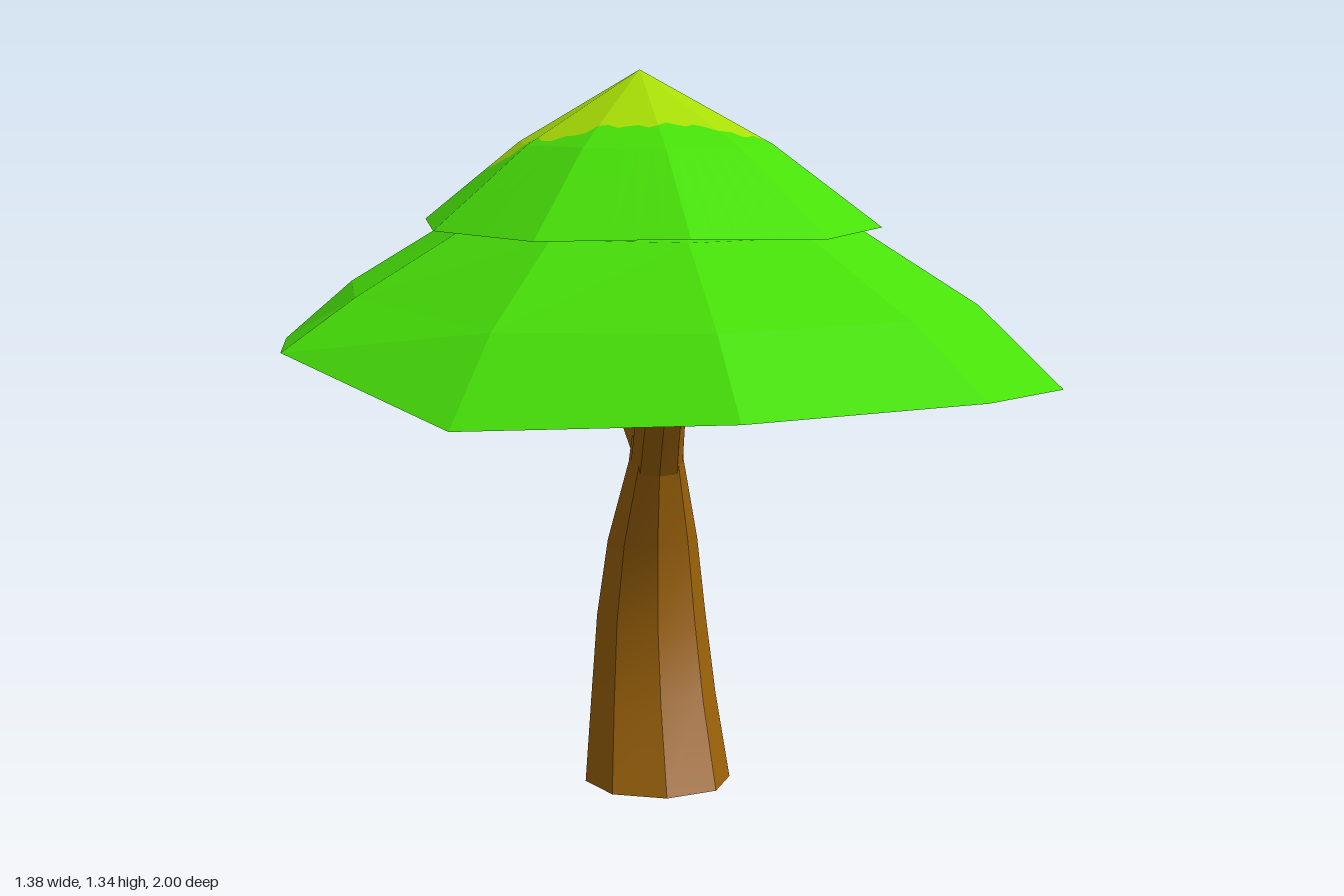
import * as THREE from 'three';
import { mergeVertices, mergeGeometries } from 'three/addons/utils/BufferGeometryUtils.js';

const V = (x, y, z) => new THREE.Vector3(x, y, z);
const SIDES = 10;

// Faceted skin over loops of points, listed from top to bottom
function loft(loops, closed = true) {
  const pos = [];
  const tri = (a, b, c) => {
    const area = b.clone().sub(a).cross(c.clone().sub(a)).length();
    if (area > 1e-8) pos.push(...a.toArray(), ...b.toArray(), ...c.toArray());
  };
  for (let k = 0; k < loops.length - 1; k++) {
    const A = loops[k], B = loops[k + 1], n = A.length;
    for (let i = 0; i < (closed ? n : n - 1); i++) {
      const j = (i + 1) % n;
      tri(A[i], A[j], B[j]);
      tri(A[i], B[j], B[i]);
    }
  }
  const g = new THREE.BufferGeometry();
  g.setAttribute('position', new THREE.Float32BufferAttribute(pos, 3));
  g.computeVertexNormals();
  return g;
}

// Share corners so the skin shades smoothly
function smooth(geometry) {
  geometry.deleteAttribute('normal');
  const g = mergeVertices(geometry, 1e-5);
  g.computeVertexNormals();
  return g;
}

// Ten-sided oval, starting at the back and turning towards +x
function oval(rx, rz, zc, y, wobble = []) {
  return Array.from({ length: SIDES }, (_, k) => {
    const a = (k / SIDES) * Math.PI * 2;
    return V(rx * Math.sin(a), y + (wobble[k] || 0), zc - rz * Math.cos(a));
  });
}
const point = (p, n) => Array.from({ length: n }, () => p);

// Split every side of a loop into n equal steps
const subdivide = (loop, n) => loop.flatMap((p, k) =>
  Array.from({ length: n }, (_, s) => p.clone().lerp(loop[(k + 1) % loop.length], s / n)));

// Octagonal limb through rings of [y, z, rx, rz], bending in the side plane
function limb(rings, level) {
  const loops = rings.map(([y, z, rx, rz], i) => {
    const a = rings[Math.max(i - 1, 0)], b = rings[Math.min(i + 1, rings.length - 1)];
    let ty = b[0] - a[0], tz = b[1] - a[1];
    if (level) { ty = 1; tz = 0; }
    const l = Math.hypot(ty, tz);
    return Array.from({ length: 8 }, (_, k) => {
      const t = (k / 8) * Math.PI * 2, s = rz * Math.sin(t);
      return V(rx * Math.cos(t), y - s * tz / l, z + s * ty / l);
    });
  }).reverse();
  const center = ([y, z]) => point(V(0, y, z), 8);
  const top = loft([center(rings[rings.length - 1]), loops[0]]);
  const bottom = loft([loops[loops.length - 1], center(rings[0])]);
  // Each side is smooth along its length, with a crease between sides
  const sides = loops[0].map((_, k) =>
    smooth(loft(loops.map((p) => [p[k], p[(k + 1) % 8]]), false)).toNonIndexed());
  return mergeGeometries([top, ...sides, bottom]);
}

export function createModel() {
  const group = new THREE.Group();
  const mat = (name, color) => {
    const m = new THREE.MeshStandardMaterial({ color });
    m.name = name;
    return m;
  };
  const leaf = mat('leaf green', 0x47e008);
  const tip = mat('lime tip', 0xa8de06);
  const bark = mat('bark brown', 0x9a6109);
  const add = (name, geometry, material) => {
    const m = new THREE.Mesh(geometry, material);
    m.name = name;
    group.add(m);
  };

  // Trunk and its two branches
  add('trunk', limb([
    [0, 0, 0.138, 0.138], [0.15, -0.065, 0.12, 0.115], [0.3, -0.1, 0.105, 0.1],
    [0.45, -0.08, 0.086, 0.08], [0.61, -0.022, 0.052, 0.054], [0.66, -0.005, 0.048, 0.04],
  ], true), bark);
  add('frontBranch', limb([
    [0.58, -0.03, 0.05, 0.046], [0.68, 0.03, 0.047, 0.045],
    [0.78, 0.108, 0.044, 0.042], [0.9, 0.14, 0.034, 0.034],
  ]), bark);
  add('backBranch', limb([
    [0.628, 0, 0.045, 0.045], [0.632, -0.06, 0.046, 0.048], [0.66, -0.23, 0.045, 0.038],
    [0.712, -0.38, 0.044, 0.042], [0.81, -0.465, 0.044, 0.044], [0.9, -0.505, 0.044, 0.042],
  ]), bark);

  // Broad lower canopy with an uneven rim
  const sag = [0, 0.04, 0, -0.045, 0, 0, -0.03, 0.04, 0, -0.03];
  const lowerRim = oval(0.725, 1, 0, 0.82, sag);
  add('lowerCanopy', loft([
    point(V(0, 1.1, -0.2), SIDES),
    oval(0.385, 0.54, -0.12, 1.05),
    oval(0.59, 0.815, -0.06, 0.93, sag.map((s) => s * 0.3)),
    lowerRim,
  ]), leaf);

  // Shallow hollow underside that the branches run into
  add('canopyUnderside', smooth(loft([lowerRim, point(V(0, 0.915, -0.2), SIDES)])), leaf);

  // Upper canopy, parted along a ragged line into lime tip and green skirt
  const steps = 6, count = SIDES * steps;
  const apex = V(0, 1.337, -0.285);
  const mid = subdivide(oval(0.245, 0.33, -0.21, 1.198), steps);
  const rim = subdivide(oval(0.437, 0.602, -0.153, 1.048, [-0.01, 0, 0, 0, 0, 0.01]), steps);
  const flat = (a, b) => Math.hypot(a.x - b.x, a.z - b.z);
  const tipMid = [], edge = [], skirtMid = [];
  for (let i = 0; i < count; i++) {
    const r = 0.281 + 0.009 * Math.sin(i * 1.9) + 0.008 * Math.sin(i * 0.83 + 1);
    const inner = flat(apex, mid[i]);
    const above = r < inner;
    const e = above
      ? apex.clone().lerp(mid[i], r / inner)
      : mid[i].clone().lerp(rim[i], (r - inner) / flat(mid[i], rim[i]));
    edge.push(e);
    tipMid.push(above ? e : mid[i]);
    skirtMid.push(above ? mid[i] : e);
  }
  add('canopyTip', loft([point(apex, count), tipMid, edge]), tip);
  add('upperCanopy', loft([edge, skirtMid, rim, point(V(0, 1.048, -0.153), count)]), leaf);

  return group;
}
